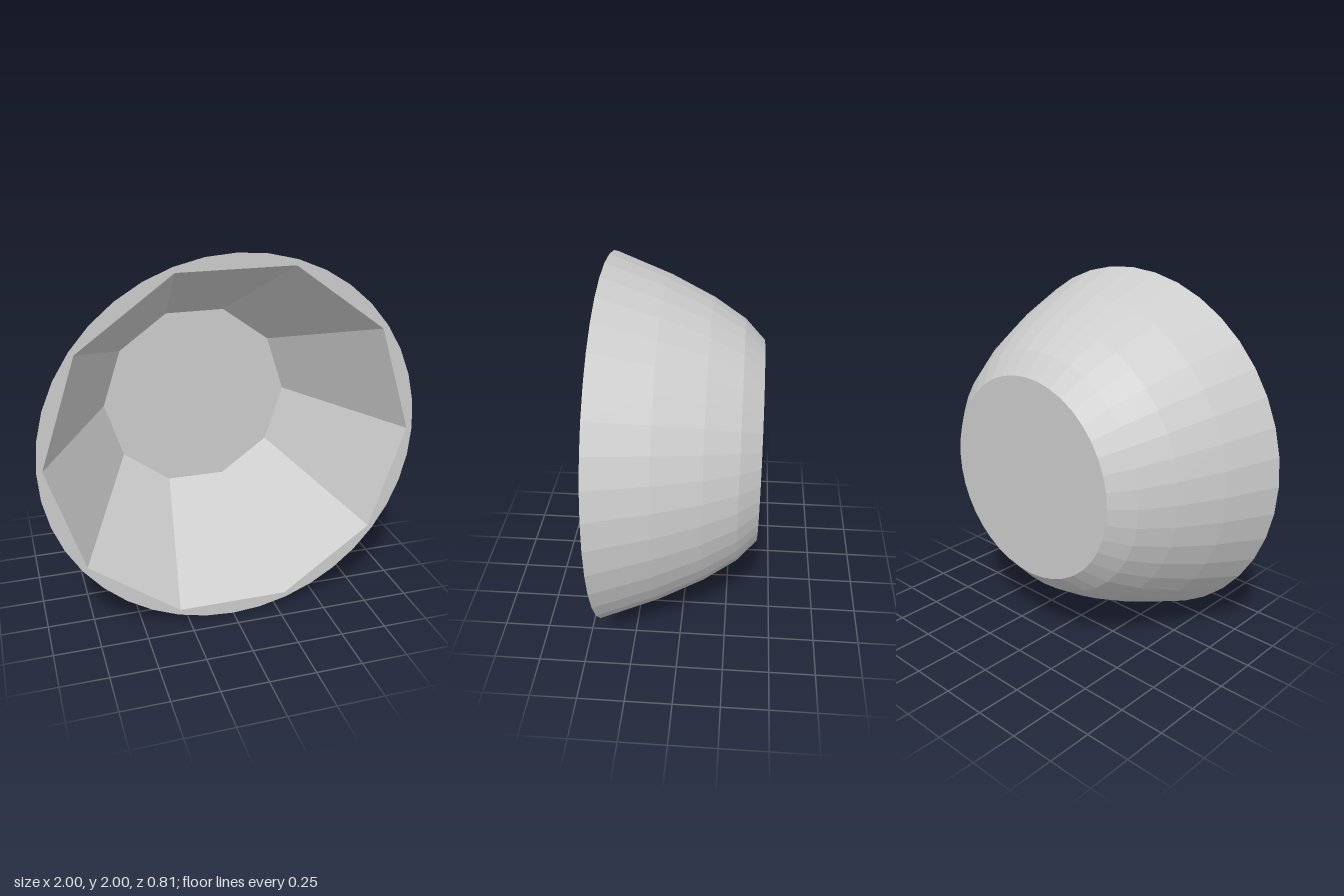
import * as THREE from 'three';

const FRONT = 0.405, BACK = -0.405, FLOOR = -0.37;
const OUTER_SIDES = 40, INNER_SIDES = 10;
const OUTER_R = 1, INNER_R = 0.97;

const material = new THREE.MeshStandardMaterial({ color: 0xcccccc, flatShading: true });

// Revolve [radius, z] points about the z axis, with a corner on +x
function revolve(name, points, sides) {
  const profile = points.map(([r, z]) => new THREE.Vector2(r, z));
  const geometry = new THREE.LatheGeometry(profile, sides, Math.PI / 2).rotateX(Math.PI / 2);
  const mesh = new THREE.Mesh(geometry, material);
  mesh.name = name;
  return mesh;
}

function polygon(radius, sides) {
  return Array.from({ length: sides }, (_, i) => {
    const a = (i / sides) * Math.PI * 2;
    return new THREE.Vector2(radius * Math.cos(a), radius * Math.sin(a));
  });
}

export function createModel() {
  const bowl = new THREE.Group();
  bowl.name = 'bowl';

  // Rounded outer wall with a flat base at the back
  bowl.add(revolve('outerShell', [
    [0, BACK], [0.55, BACK], [0.66, -0.3], [0.77, -0.13], [0.885, 0.105], [OUTER_R, FRONT],
  ], OUTER_SIDES));

  // Ten-sided tapering hollow and its floor
  bowl.add(revolve('innerHollow', [
    [INNER_R, FRONT], [0.545, FLOOR], [0, FLOOR],
  ], INNER_SIDES));

  // Flat rim between the round outside and the ten-sided opening
  const rimShape = new THREE.Shape(polygon(OUTER_R, OUTER_SIDES));
  rimShape.holes.push(new THREE.Path(polygon(INNER_R, INNER_SIDES)));
  const rim = new THREE.Mesh(new THREE.ShapeGeometry(rimShape), material);
  rim.name = 'rim';
  rim.position.z = FRONT;
  bowl.add(rim);

  // Stand the bowl on its edge
  bowl.position.y = OUTER_R;
  const model = new THREE.Group();
  model.name = 'model';
  model.add(bowl);
  return model;
}
